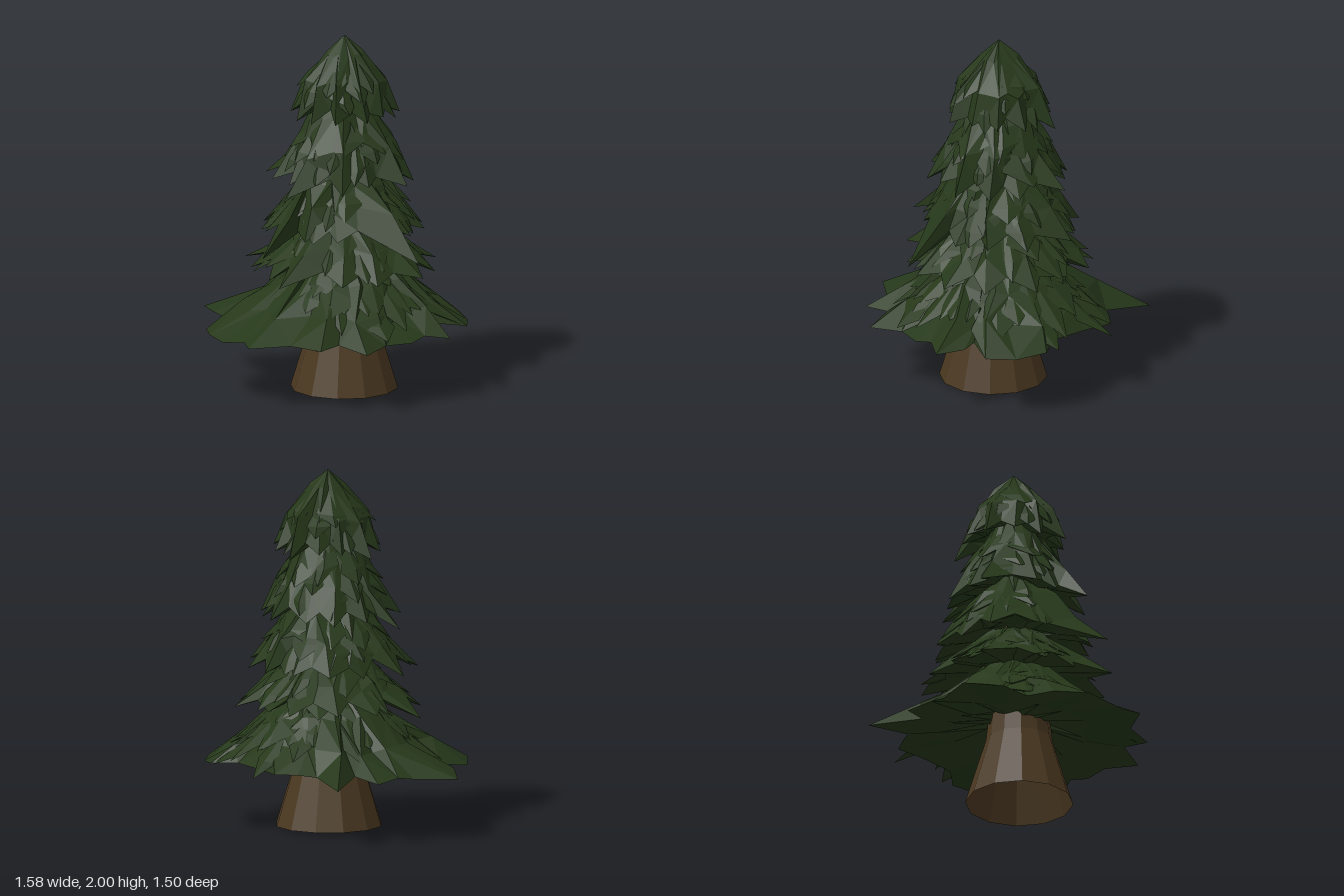
import * as THREE from 'three';
import { mergeGeometries } from 'three/addons/utils/BufferGeometryUtils.js';

const CX = 0.09, CZ = -0.1; // tree axis

function seeded(seed) {
  return () => {
    seed = (seed * 16807) % 2147483647;
    return seed / 2147483647;
  };
}

function build(positions, index) {
  const g = new THREE.BufferGeometry();
  g.setAttribute('position', new THREE.Float32BufferAttribute(positions, 3));
  g.setIndex(index);
  g.computeVertexNormals();
  return g;
}

// Ragged rim: alternating tips and notches, with a few tips pinned to [x, z, y]
function makeRim(t, rand) {
  const rim = [];
  for (let i = 0; i < t.n; i++) {
    const tip = i % 2 === 0;
    rim.push({
      a: ((i + (rand() - 0.5) * 0.6) / t.n) * Math.PI * 2,
      r: t.r * (tip ? 0.94 + rand() * 0.18 : 0.78 + rand() * 0.12),
      y: t.rimY + (tip ? -0.02 : 0.04) + (rand() - 0.5) * 0.04,
    });
  }
  for (const [x, z, y] of t.pins) {
    const a = (Math.atan2(z - CZ, x - CX) + Math.PI * 2) % (Math.PI * 2);
    const i = (Math.round((a / (Math.PI * 2)) * t.n / 2) * 2) % t.n;
    rim[i] = { a, r: Math.hypot(x - CX, z - CZ), y };
  }
  return rim;
}

// Skirt of branches: rings from the crown down to the rim, then back in underneath
function skirt(t, rim, rand) {
  const pos = [], index = [], n = rim.length;
  const rows = [...t.profile, [1, 1], [0.62, 0.88], [0.22, 0.74]];
  const rimRow = t.profile.length;
  rows.forEach(([fr, fy], row) => {
    const j = row === rimRow || fr === 0 ? 0 : 1;
    for (const p of rim) {
      // upper rings are rounder than the rim
      const blend = fr ** 3;
      const r = fr * (t.r * 0.92 * (1 - blend) + p.r * blend) * (1 + j * (rand() - 0.5) * 0.2);
      const a = p.a + j * (rand() - 0.5) * 0.14;
      const y = t.topY + (p.y * blend + t.rimY * (1 - blend) - t.topY) * fy + j * (rand() - 0.5) * 0.05;
      pos.push(CX + Math.cos(a) * r, y, CZ + Math.sin(a) * r);
    }
  });
  for (let row = 0; row < rows.length - 1; row++) {
    for (let i = 0; i < n; i++) {
      const a = row * n + i, b = row * n + ((i + 1) % n), c = a + n, d = b + n;
      if ((i + row) % 2) index.push(a, b, c, b, d, c);
      else index.push(a, b, d, a, d, c);
    }
  }
  return build(pos, index);
}

// Broad folded tuft of needles lying on the skirt, its tip lifting away
function tuft(t, angle, f, rand) {
  const pts = [...t.profile, [1, 1]];
  const at = (fy) => {
    let k = 1;
    while (k < pts.length - 1 && pts[k][1] < fy) k++;
    const [r0, y0] = pts[k - 1], [r1, y1] = pts[k];
    return (r0 + ((r1 - r0) * (fy - y0)) / (y1 - y0)) * t.r * 0.9;
  };
  const h = t.topY - t.rimY, w = 0.06 + rand() * 0.06;
  const len = (0.13 + rand() * 0.08) / h;
  const point = (fy, out, side) => {
    const r = at(fy) + out, c = Math.cos(angle), s = Math.sin(angle);
    return [CX + c * r - s * side, t.topY - fy * h, CZ + s * r + c * side];
  };
  const skew = (rand() - 0.5) * 0.1;
  const pos = [
    ...point(Math.max(f - len, 0.08), -0.02, 0),
    ...point(f + skew, -0.01, w),
    ...point(f, 0.025, skew * 0.3),
    ...point(f - skew, -0.01, -w),
    ...point(f + len * 0.45, 0.02 + rand() * 0.03, skew),
    ...point(f + len * 0.1, -0.03, 0),
  ];
  return build(pos, [0, 1, 2, 0, 2, 3, 2, 1, 4, 3, 2, 4, 1, 5, 4, 5, 3, 4]);
}

// Outline of the lowest branches, as [x, z]
const LOW_RIM = [
  [0.79, -0.15], [0.69, -0.05], [0.68, 0.06], [0.61, 0.2], [0.63, 0.4], [0.44, 0.41],
  [0.43, 0.56], [0.22, 0.56], [0.04, 0.71], [-0.04, 0.64], [-0.2, 0.63], [-0.33, 0.58],
  [-0.47, 0.43], [-0.44, 0.25], [-0.6, 0.19], [-0.79, 0.03], [-0.64, -0.17], [-0.61, -0.26],
  [-0.6, -0.41], [-0.42, -0.41], [-0.55, -0.68], [-0.28, -0.57], [-0.2, -0.64], [-0.1, -0.72],
  [0.05, -0.65], [0.3, -0.6], [0.45, -0.66], [0.6, -0.56], [0.7, -0.42], [0.59, -0.27], [0.66, -0.25],
];

const SLOPE = [[0.25, 0], [0.5, 0.3], [0.74, 0.65]];
const TIERS = [
  { name: 'lowestBranches', topY: 0.8, rimY: 0.37, r: 0.7, tufts: 28,
    profile: [[0.28, 0], [0.52, 0.37], [0.75, 0.7]], outline: LOW_RIM },
  { name: 'lowestOverlay', topY: 0.86, rimY: 0.53, r: 0.47, n: 24, tufts: 16, profile: SLOPE,
    pins: [[0.61, -0.12, 0.5], [0.1, -0.62, 0.48], [-0.46, -0.1, 0.47], [0.05, 0.42, 0.5]] },
  { name: 'lowerBranches', topY: 1.04, rimY: 0.7, r: 0.5, n: 26, tufts: 22, profile: SLOPE,
    pins: [[0.64, -0.1, 0.69], [-0.53, 0, 0.66], [0.1, 0.51, 0.67], [0.1, -0.56, 0.69]] },
  { name: 'middleBranches', topY: 1.34, rimY: 0.92, r: 0.44, n: 26, tufts: 24,
    profile: [[0.27, 0], [0.58, 0.35], [0.79, 0.65]],
    pins: [[0.74, 0.07, 0.82], [-0.4, 0, 0.88], [0, 0.53, 0.83], [0.1, -0.59, 0.91]] },
  { name: 'upperBranches', topY: 1.72, rimY: 1.21, r: 0.38, n: 26, tufts: 24,
    profile: [[0.25, 0], [0.53, 0.33], [0.77, 0.65]],
    pins: [[0.53, -0.1, 1.2], [-0.42, -0.05, 1.15], [0.05, 0.38, 1.15], [0.1, -0.55, 1.2]] },
  { name: 'crown', topY: 2, rimY: 1.57, r: 0.28, n: 24, tufts: 15,
    profile: [[0, 0], [0.4, 0.23], [0.82, 0.58]],
    pins: [[0.36, -0.1, 1.57], [-0.25, -0.1, 1.53], [0.1, 0.22, 1.55], [0.05, -0.45, 1.53]] },
];

export function createModel() {
  const tree = new THREE.Group();
  tree.name = 'pineTree';
  const bark = new THREE.MeshStandardMaterial({ color: 0x4a3820, flatShading: true, side: THREE.DoubleSide });
  const needles = new THREE.MeshStandardMaterial({ color: 0x26381a, flatShading: true, side: THREE.DoubleSide });

  // Hollow trunk, flared at the foot and tapering up inside the branches
  const trunk = new THREE.Mesh(
    new THREE.LatheGeometry(
      [[0.3, 0], [0.185, 0.38], [0.13, 0.9], [0.05, 1.65], [0, 1.66]]
        .map(([r, y]) => new THREE.Vector2(r, y)), 12),
    bark);
  trunk.name = 'trunk';
  trunk.position.set(0.108, 0, -0.075);
  tree.add(trunk);

  // Branch tiers
  TIERS.forEach((t, k) => {
    const rand = seeded(4711 + k * 977);
    for (let i = 0; i < 5; i++) rand();
    const rim = t.outline
      ? t.outline.map(([x, z]) => {
        const r = Math.hypot(x - CX, z - CZ);
        return { a: Math.atan2(z - CZ, x - CX), r, y: 0.36 - (r - 0.7) * 0.15 + (rand() - 0.5) * 0.04 };
      })
      : makeRim(t, rand);
    const parts = [skirt(t, rim, rand)];
    for (let i = 0; i < t.tufts; i++) {
      const f = 0.48 + 0.15 * (i % 3) + rand() * 0.08;
      parts.push(tuft(t, ((i + rand() * 0.6) / t.tufts) * Math.PI * 2, f, rand));
    }
    const mesh = new THREE.Mesh(mergeGeometries(parts), needles);
    mesh.name = t.name;
    tree.add(mesh);
  });
  return tree;
}
